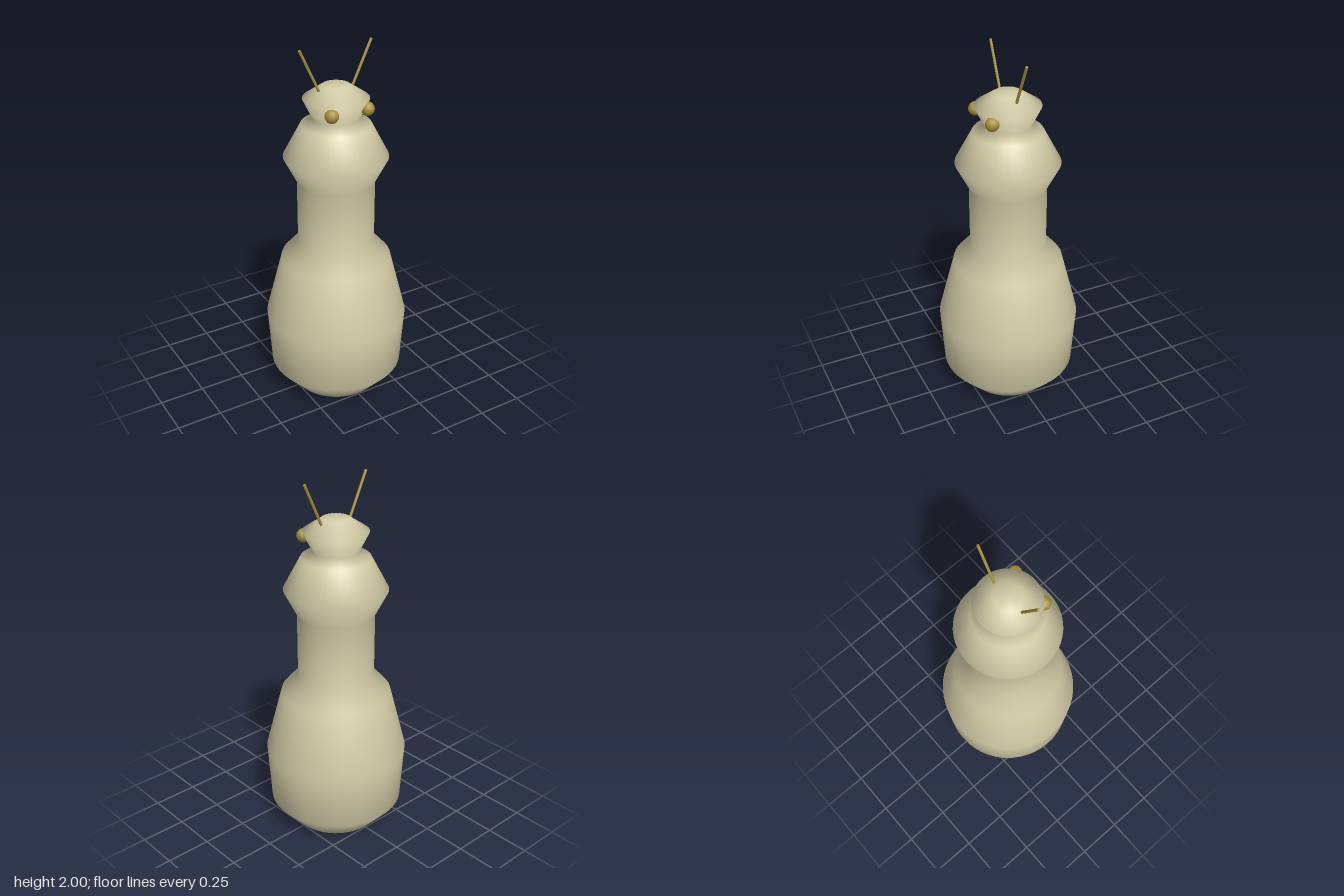
import * as THREE from 'three';

export function createModel() {
  const model = new THREE.Group();
  const cream = new THREE.MeshStandardMaterial({ color: 0xd2cba6 });
  cream.name = 'cream';
  const gold = new THREE.MeshStandardMaterial({ color: 0xa8903c });
  gold.name = 'gold';

  const add = (name, geometry, material) => {
    const mesh = new THREE.Mesh(geometry, material);
    mesh.name = name;
    model.add(mesh);
    return mesh;
  };

  // Turned body: abdomen, waist, chest and head in one smooth profile
  const profile = [
    [0, 0], [0.245, 0], [0.37, 0.14], [0.39, 0.455], [0.3, 0.805], [0.208, 0.91],
    [0.208, 1.26], [0.279, 1.4], [0.185, 1.578], [0.123, 1.612],
    [0.174, 1.718], [0.073, 1.787], [0, 1.787],
  ].map(([r, y]) => new THREE.Vector2(r, y));
  add('body', new THREE.LatheGeometry(profile, 48), cream);

  for (const [side, s] of [['left', 1], ['right', -1]]) {
    // Small bead eye on the front of the head
    add(side + 'Eye', new THREE.SphereGeometry(0.037, 10, 8), gold)
      .position.set(s * 0.105, 1.682, 0.135);

    // Straight antenna leaning outwards
    const base = new THREE.Vector3(s * 0.1, 1.77, 0);
    const tip = new THREE.Vector3(s * 0.208, 1.997, 0);
    const along = tip.clone().sub(base);
    const antenna = add(side + 'Antenna',
      new THREE.CylinderGeometry(0.0075, 0.0075, along.length(), 8), gold);
    antenna.position.copy(base).add(tip).multiplyScalar(0.5);
    antenna.quaternion.setFromUnitVectors(new THREE.Vector3(0, 1, 0), along.normalize());
  }
  return model;
}
